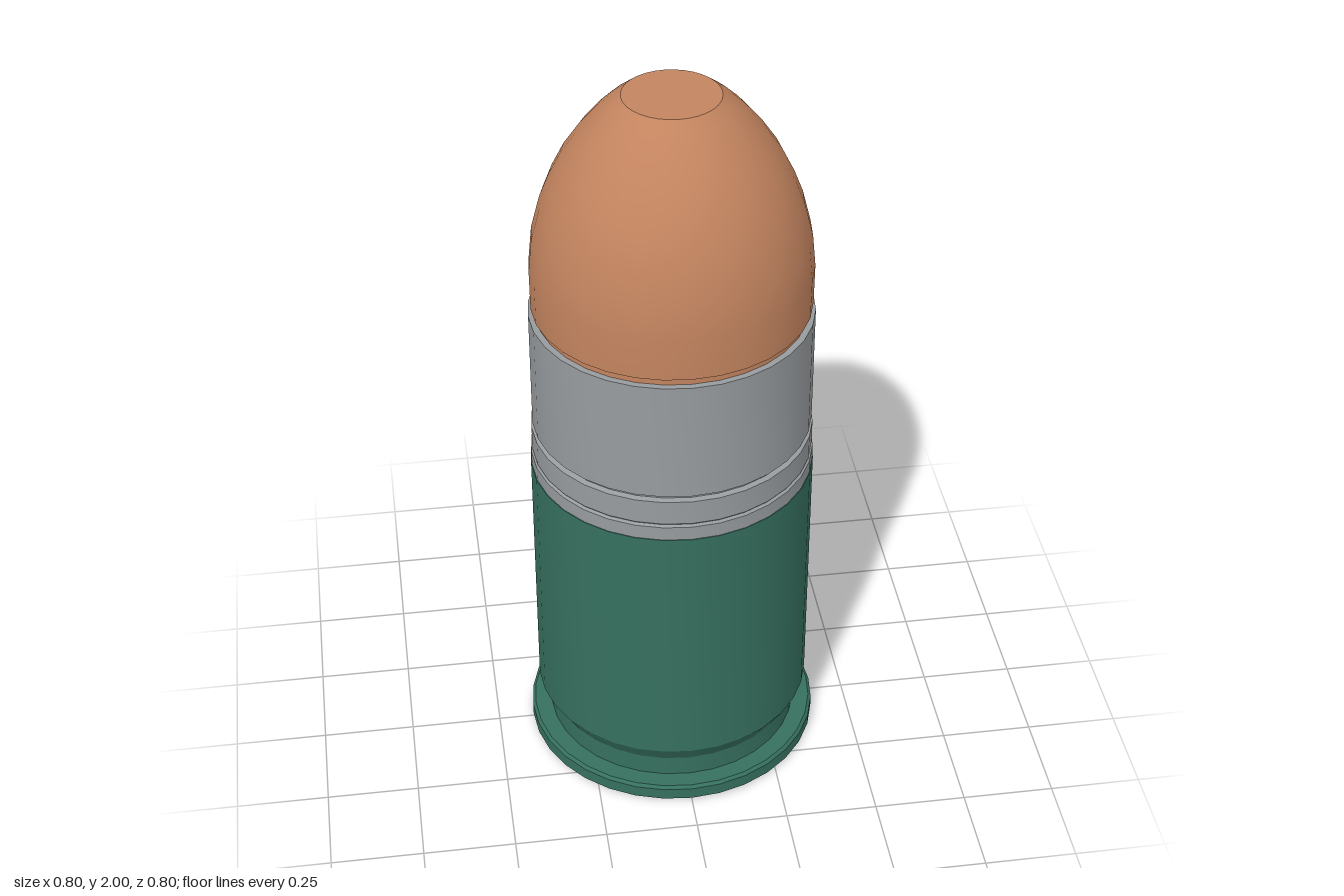
import * as THREE from 'three';
import { toCreasedNormals } from 'three/addons/utils/BufferGeometryUtils.js';

const SIDES = 32;

function material(name, color) {
  const m = new THREE.MeshStandardMaterial({ color });
  m.name = name;
  return m;
}

// Turned part from [radius, height] pairs, running up the outside
function turned(name, mat, profile) {
  const points = profile.map(([r, y]) => new THREE.Vector2(r, y));
  const geometry = toCreasedNormals(new THREE.LatheGeometry(points, SIDES), 0.45);
  const mesh = new THREE.Mesh(geometry, mat);
  mesh.name = name;
  return mesh;
}

export function createModel() {
  const green = material('casing green', 0x36705f);
  const grey = material('metal grey', 0x989c9f);
  const copper = material('copper', 0xc3845f);
  const model = new THREE.Group();
  model.name = 'cartridge';

  // Casing: recessed base, rim, extractor groove, shoulder and wall
  model.add(turned('casing', green, [
    [0, 0.04], [0.15, 0.04], [0.19, 0], [0.392, 0], [0.402, 0.008],
    [0.402, 0.042], [0.394, 0.05], [0.347, 0.05], [0.347, 0.11],
    [0.379, 0.165], [0.379, 0.912], [0, 0.912],
  ]));

  // Primer with a small central hole
  model.add(turned('primer', grey, [
    [0, 0.03], [0.043, 0.03], [0.043, 0.002], [0.13, 0.002],
    [0.148, 0.012], [0.148, 0.045],
  ]));

  // Grey collar: two driving bands, a groove, then the sleeve
  model.add(turned('collar', grey, [
    [0.36, 0.905], [0.377, 0.912], [0.377, 0.952], [0.37, 0.957],
    [0.374, 0.962], [0.374, 1.032], [0.36, 1.036], [0.36, 1.044],
    [0.371, 1.048], [0.371, 1.385], [0, 1.385],
  ]));

  // Rounded nose with a narrow neck and a flat tip
  model.add(turned('nose', copper, [
    [0.354, 1.38], [0.354, 1.402], [0.364, 1.406], [0.365, 1.52],
    [0.356, 1.61], [0.333, 1.7], [0.31, 1.76], [0.278, 1.825],
    [0.238, 1.885], [0.19, 1.943], [0.157, 1.975], [0.125, 2], [0, 2],
  ]));

  return model;
}
